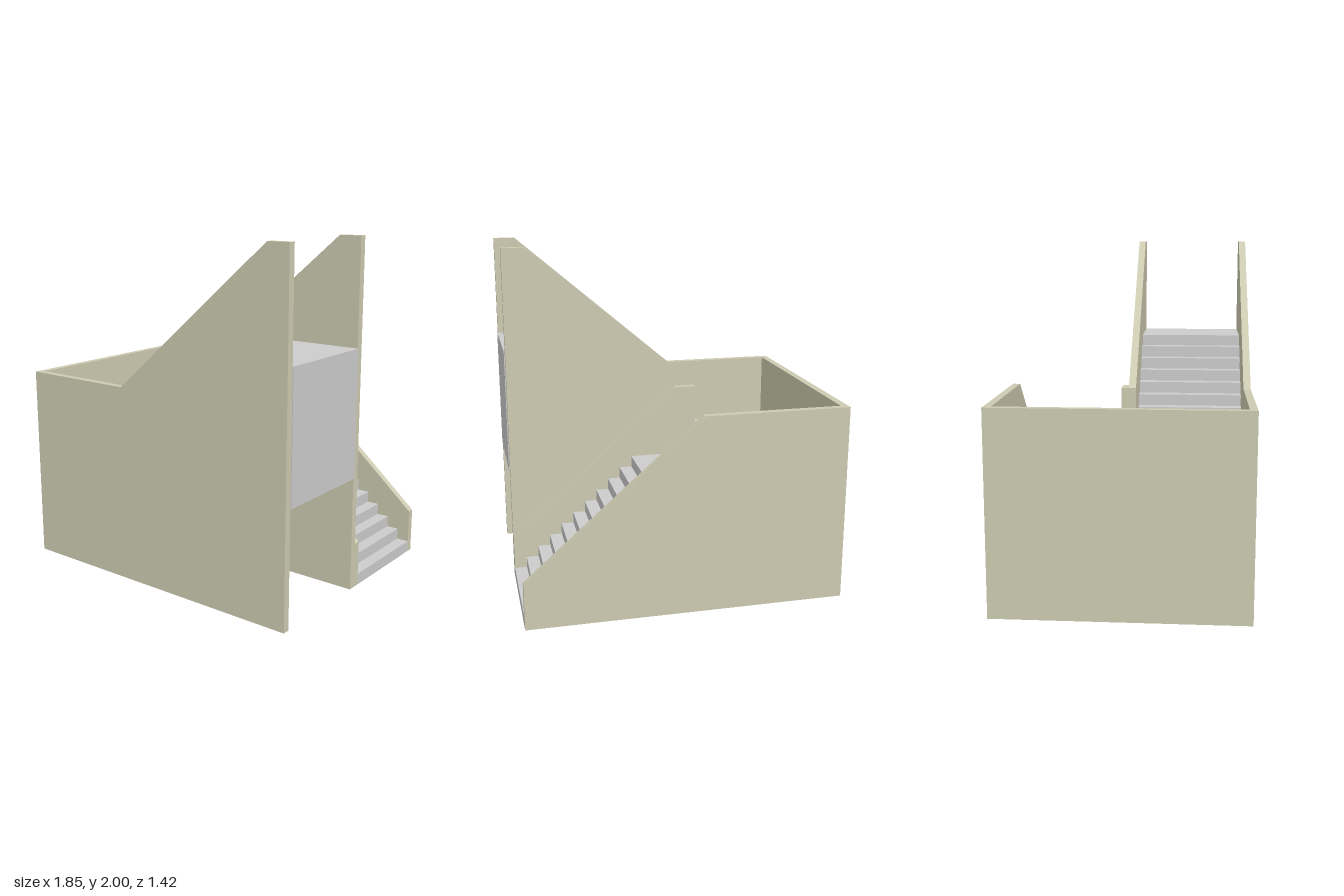
import * as THREE from 'three';

const wallMat = new THREE.MeshStandardMaterial({ color: 0xcccab0, flatShading: true });
const stepMat = new THREE.MeshStandardMaterial({ color: 0xcccccc, flatShading: true });

const X = 0.925;          // half length
const Z = 0.71;           // half width
const T = 0.042;          // wall thickness
const RISE = 1.4 / 21;    // riser height
const LAND = 11 * RISE;   // half landing height
const RAIL = 1.15;        // parapet height at the landing

// Extrude an x/y profile from z0 to z1
function slab(name, points, z0, z1, material) {
  const shape = new THREE.Shape(points.map(([x, y]) => new THREE.Vector2(x, y)));
  const geometry = new THREE.ExtrudeGeometry(shape, { depth: z1 - z0, bevelEnabled: false });
  geometry.translate(0, 0, z0);
  const mesh = new THREE.Mesh(geometry, material);
  mesh.name = name;
  return mesh;
}

// Stepped outline: from the first riser at x0 to the last riser at x1
function stepPoints(x0, x1, y0, count) {
  const points = [];
  for (let i = 0; i < count; i++) {
    const x = x0 + (x1 - x0) * i / (count - 1);
    points.push([x, y0 + i * RISE], [x, y0 + (i + 1) * RISE]);
  }
  return points;
}

export function createModel() {
  const model = new THREE.Group();
  model.name = 'staircase';

  // Lower flight and the landing behind it, solid to the ground
  const lower = [...stepPoints(0.92, 0.19, 0, 11), [-X + T, LAND], [-X + T, 0]];
  model.add(slab('lowerFlight', lower, -Z + T, -T, stepMat));

  // Upper flight with the landing and top platform, open underneath
  const upper = [[-X + T, LAND - RISE], [-X + T, LAND],
    ...stepPoints(-0.21, 0.46, LAND, 10), [X, 1.4], [X, LAND - RISE]];
  model.add(slab('upperFlight', upper, T, Z - T, stepMat));

  // Outer walls
  model.add(slab('frontWall', [[-X, 0], [0.92, 0], [0.92, 2], [0.79, 2], [-0.21, RAIL], [-X, RAIL]],
    Z - T, Z, wallMat));
  model.add(slab('backWall', [[-X, 0], [0.92, 0], [0.92, 0.265], [-0.085, RAIL], [-X, RAIL]],
    -Z, -Z + T, wallMat));
  const end = new THREE.Mesh(new THREE.BoxGeometry(T, RAIL, 2 * (Z - T)), wallMat);
  end.name = 'endWall';
  end.position.set(-X + T / 2, RAIL / 2, 0);
  model.add(end);

  // Middle walls, one for each flight, cut down to the landing at the turn
  const top = LAND + 0.001;
  model.add(slab('upperMiddleWall', [[-X + T, 0], [0.92, 0], [0.92, 2], [0.79, 2],
    [-0.21, RAIL], [-0.21, top], [-X + T, top]], 0, T, wallMat));
  model.add(slab('lowerMiddleWall', [[-X + T, 0], [0.92, 0], [0.92, 0.265],
    [-0.085, RAIL], [-0.21, RAIL], [-0.21, top], [-X + T, top]], -T, 0, wallMat));

  return model;
}
